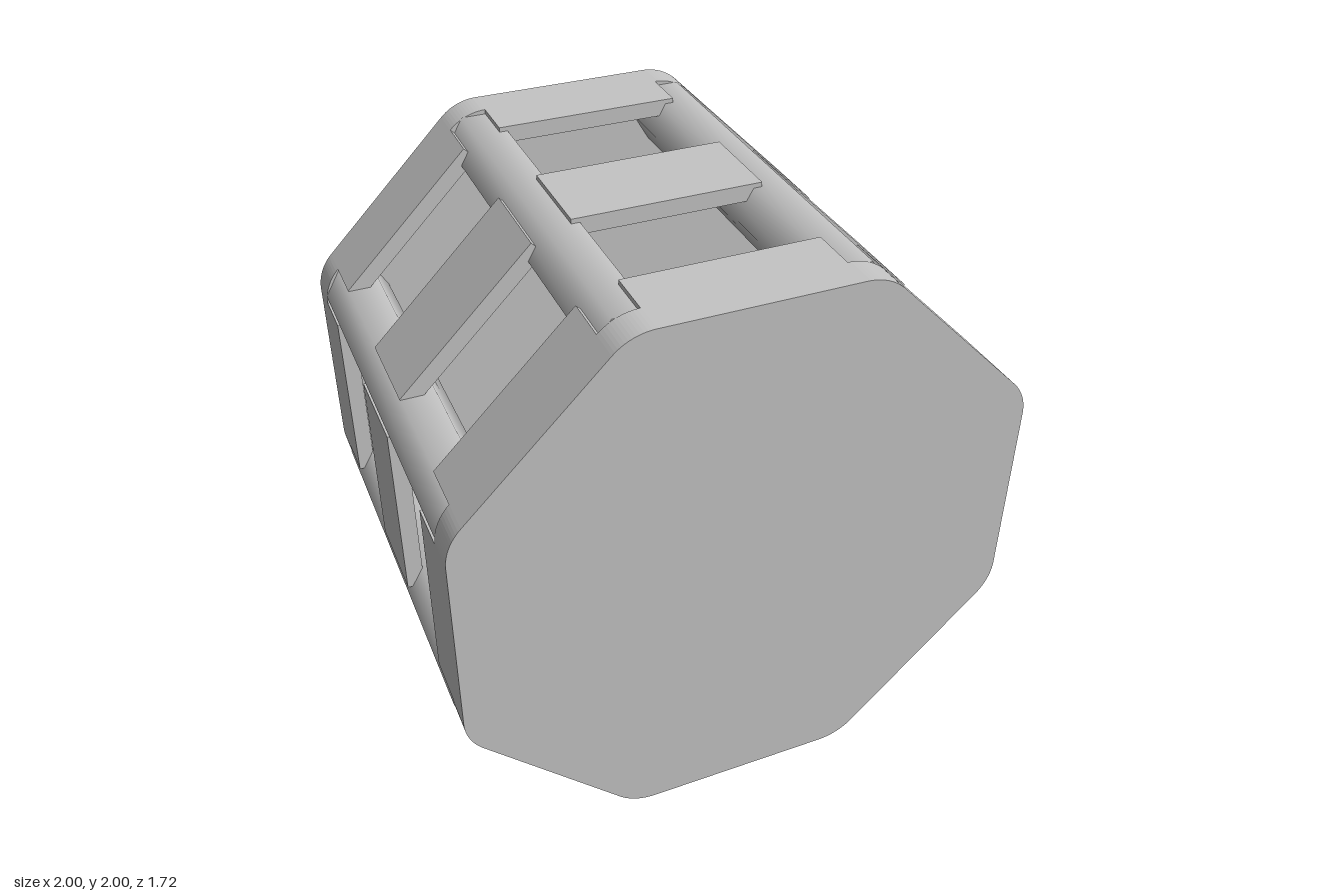
import * as THREE from 'three';

const grey = new THREE.MeshStandardMaterial({ color: 0xc4c4c4 });
grey.name = 'plain grey';

const SIDES = 8;
const STEP = Math.PI * 2 / SIDES;
const HALF_RAIL = 0.335;   // half length of the flat on each side
const FILLET = 0.193;      // corner rounding of the end plates
const PLATE_IN = 0.74, PLATE_OUT = 0.86;

function addMesh(parent, name, geometry) {
  const mesh = new THREE.Mesh(geometry, grey);
  mesh.name = name;
  parent.add(mesh);
  return mesh;
}

// octagon with rounded corners, flats at distance 1 from the centre
function plateShape() {
  const shape = new THREE.Shape();
  const d = 1 - FILLET;
  const cornerDist = d / Math.cos(STEP / 2);
  for (let i = 0; i < SIDES; i++) {
    const a = (i + 0.5) * STEP;
    shape.absarc(Math.cos(a) * cornerDist, Math.sin(a) * cornerDist, FILLET, a - STEP / 2, a + STEP / 2, false);
  }
  shape.closePath();
  return shape;
}

export function createModel() {
  const model = new THREE.Group();
  model.name = 'octagonal cage';
  const body = new THREE.Group();
  body.name = 'cage body';
  body.position.y = 1;
  model.add(body);

  // solid end plates
  const plate = new THREE.ExtrudeGeometry(plateShape(), {
    depth: PLATE_OUT - PLATE_IN, bevelEnabled: false, curveSegments: 6,
  });
  addMesh(body, 'frontPlate', plate).position.z = PLATE_IN;
  addMesh(body, 'backPlate', plate).position.z = -PLATE_OUT;

  // six-sided, smoothly shaded bars along the corners, a vertex pointing to +x
  const bar = new THREE.CylinderGeometry(0.119, 0.119, PLATE_IN * 2, 6);
  bar.rotateY(Math.PI / 2).rotateX(Math.PI / 2);
  for (let i = 0; i < SIDES; i++) {
    const a = (i + 0.5) * STEP;
    addMesh(body, 'cornerBar', bar).position.set(Math.cos(a) * 0.953, Math.sin(a) * 0.953, 0);
  }

  // flat slats on every side: one in the middle, one against each plate
  const slats = [['middleSlat', 0, 0.335], ['frontSlat', 0.655, 0.17], ['backSlat', -0.655, 0.17]];
  for (let i = 0; i < SIDES; i++) {
    const side = new THREE.Group();
    side.name = 'sidePanel';
    side.rotation.z = i * STEP;
    body.add(side);
    for (const [name, z, width] of slats) {
      const slat = addMesh(side, name, new THREE.BoxGeometry(0.06, HALF_RAIL * 2, width));
      slat.position.set(0.97, 0, z);
    }
  }
  return model;
}
